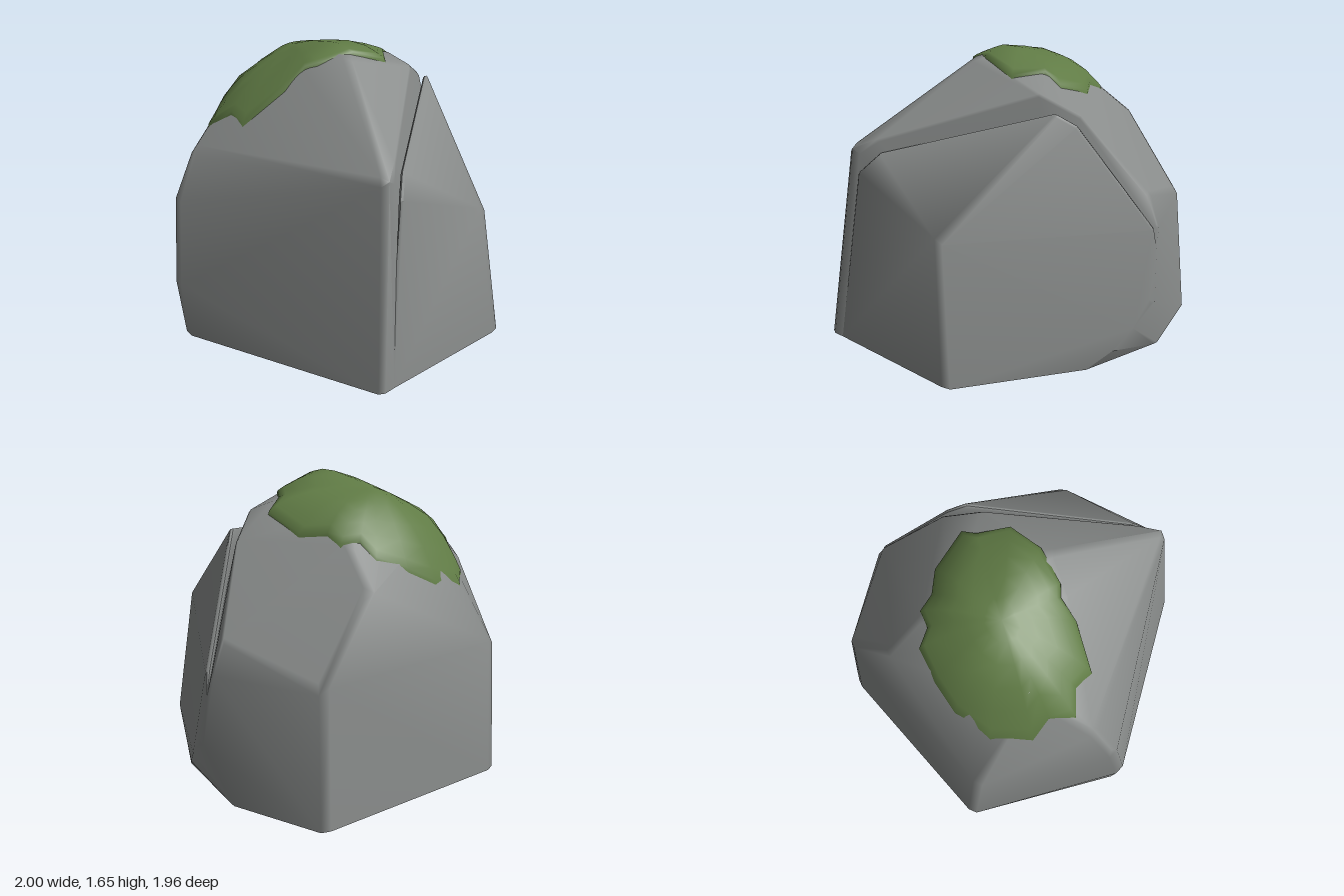
import * as THREE from 'three';
import { mergeVertices } from 'three/addons/utils/BufferGeometryUtils.js';
import { ConvexGeometry } from 'three/addons/geometries/ConvexGeometry.js';

// Unique directions of an icosahedron, used to round off corners
function bevelDirections() {
  const geo = new THREE.IcosahedronGeometry(1, 0);
  geo.deleteAttribute('normal');
  geo.deleteAttribute('uv');
  const pos = mergeVertices(geo, 1e-4).attributes.position;
  return Array.from({ length: pos.count }, (_, i) => new THREE.Vector3().fromBufferAttribute(pos, i));
}

// Area-weighted normals that stay sharp across edges steeper than about 50 degrees
function creasedGeometry(triangles) {
  const key = (v) => v.toArray().map((n) => Math.round(n * 1e4)).join();
  const facesAt = new Map();
  const faces = triangles.map(([a, b, c]) => b.clone().sub(a).cross(c.clone().sub(a)));
  triangles.forEach((tri, f) => tri.forEach((v) => {
    if (!facesAt.has(key(v))) facesAt.set(key(v), []);
    facesAt.get(key(v)).push(faces[f]);
  }));
  const positions = [], normals = [];
  triangles.forEach((tri, f) => tri.forEach((v) => {
    const normal = new THREE.Vector3();
    for (const other of facesAt.get(key(v))) {
      if (other.angleTo(faces[f]) < 0.87) normal.add(other);
    }
    positions.push(...v.toArray());
    normals.push(...normal.normalize().toArray());
  }));
  const geo = new THREE.BufferGeometry();
  geo.setAttribute('position', new THREE.Float32BufferAttribute(positions, 3));
  geo.setAttribute('normal', new THREE.Float32BufferAttribute(normals, 3));
  return geo;
}

// Convex stone from corners [x, y, z, bevel], open underneath
function stoneGeometry(corners) {
  const directions = bevelDirections();
  const points = [];
  for (const [x, y, z, bevel = 0.06] of corners) {
    const corner = new THREE.Vector3(x, y, z);
    if (bevel === 0) {
      points.push(corner);
      continue;
    }
    // pull corners inward so the bevel ends at the intended size
    const outward = new THREE.Vector3(x, Math.max(0, y - 0.6), z).normalize();
    corner.addScaledVector(outward, -0.85 * bevel);
    for (const d of directions) {
      const p = corner.clone().addScaledVector(d, bevel);
      p.y = y === 0 ? 0 : Math.max(0, p.y);
      points.push(p);
    }
  }
  const pos = new ConvexGeometry(points).attributes.position;
  const triangles = [];
  for (let i = 0; i < pos.count; i += 3) {
    const tri = [0, 1, 2].map((k) => new THREE.Vector3().fromBufferAttribute(pos, i + k));
    if (tri.some((v) => v.y > 1e-4)) triangles.push(tri);
  }
  return creasedGeometry(triangles);
}

// Moss: rings shrunk from an outline, draped over the stone and lifted in the middle
function mossGeometry(stone, outline, cx, cz) {
  const rings = [[0, 0.045], [0.2, 0.045], [0.4, 0.045], [0.6, 0.045], [0.78, 0.04], [0.92, 0.03], [0.985, 0.018], [1, -0.012]];
  const ray = new THREE.Raycaster();
  const down = new THREE.Vector3(0, -1, 0);
  const heightAt = (x, z) => {
    ray.set(new THREE.Vector3(x, 3, z), down);
    return ray.intersectObject(stone)[0].point.y;
  };
  // inner rings follow a softened version of the stone
  const softHeight = (x, z) => {
    let sum = 0;
    for (let k = 0; k < 8; k++) {
      const a = (k * Math.PI) / 4;
      sum += heightAt(x + 0.06 * Math.cos(a), z + 0.06 * Math.sin(a));
    }
    return Math.max(sum / 8, heightAt(x, z) - 0.015);
  };
  const positions = [];
  const index = [];
  const n = outline.length;
  rings.forEach(([t, lift], r) => {
    outline.forEach(([ox, oz], i) => {
      const x = cx + (ox - cx) * t;
      const z = cz + (oz - cz) * t;
      positions.push(x, (t < 0.95 ? softHeight(x, z) : heightAt(x, z)) + lift, z);
      if (r === 0) return;
      const j = (i + 1) % n;
      const a = (r - 1) * n + i, b = (r - 1) * n + j, c = r * n + i, d = r * n + j;
      if (r > 1) index.push(a, b, c);
      index.push(b, d, c);
    });
  });
  const geo = new THREE.BufferGeometry();
  geo.setAttribute('position', new THREE.Float32BufferAttribute(positions, 3));
  geo.setIndex(index);
  const merged = mergeVertices(geo, 1e-4);
  merged.computeVertexNormals();
  return merged;
}

export function createModel() {
  const group = new THREE.Group();
  group.name = 'mossyBoulder';
  const stoneGrey = new THREE.MeshStandardMaterial({ color: 0x898c8b, side: THREE.DoubleSide });
  stoneGrey.name = 'stoneGrey';
  const mossGreen = new THREE.MeshStandardMaterial({ color: 0x607b45, side: THREE.DoubleSide });
  mossGreen.name = 'mossGreen';

  const add = (name, geo, mat) => {
    const mesh = new THREE.Mesh(geo, mat);
    mesh.name = name;
    group.add(mesh);
    return mesh;
  };

  // Sharp corners where wedge and boulder meet flush, below the open crack
  const seam = [
    [-0.32, 0, 0.965, 0], [-0.26, 0.7, 0.885, 0], [0.87, 0, 0.13, 0],
    [0.94, 0.1, 0.0, 0], [0.985, 0.22, -0.11, 0], [1.0, 0.37, -0.21, 0], [0.975, 0.64, -0.28, 0],
  ];

  // Main boulder, cut off along a diagonal at the front
  const boulder = add('boulder', stoneGeometry([
    ...seam,
    // foot
    [-0.4, 0, 0.975, 0.045], [-0.97, 0, -0.17], [-0.48, 0, -0.98], [0.67, 0, -0.9], [0.91, 0, -0.4, 0.03],
    // belly
    [-1.0, 0.33, -0.2], [1.0, 0.34, -0.25, 0.03],
    // shoulders
    [-0.94, 0.83, -0.26], [-0.5, 0.76, -0.9], [0.63, 0.76, -0.83], [0.95, 0.76, -0.31, 0.02], [0.88, 0.93, -0.31, 0.03],
    [-0.3, 1.14, 0.84, 0.05], [-0.19, 1.2, 0.75, 0.02], [0.28, 1.2, -0.77], [-0.8, 1.08, -0.3],
    // crown
    [-0.62, 1.24, -0.33], [-0.25, 1.52, 0.05], [-0.05, 1.6, 0.14], [-0.03, 1.62, 0.0],
    [0.34, 1.53, -0.02], [0.42, 1.47, 0.1, 0.02], [0.6, 1.36, -0.04, 0.02],
    [-0.12, 1.54, -0.4], [-0.45, 1.36, -0.45], [0.15, 1.51, -0.4], [0.24, 1.38, -0.55], [-0.2, 1.36, -0.6],
  ]), stoneGrey);

  // Split-off wedge standing against the cut
  add('frontWedge', stoneGeometry([
    ...seam,
    // foot
    [0.53, 0, 0.84, 0.06],
    // upper rim along the crack
    [0.96, 0.76, -0.26, 0.015], [-0.21, 1.02, 0.86, 0.015], [-0.13, 1.13, 0.77, 0.015],
    [0.42, 0.79, 0.79, 0.05], [0.56, 1.38, 0.1, 0.015], [0.63, 1.32, 0.02, 0.015],
  ]), stoneGrey);

  // Moss patch on the crown
  group.updateMatrixWorld(true);
  add('mossPatch', mossGeometry(boulder, [
    [-0.7, -0.32], [-0.6, -0.43], [-0.6, -0.55], [-0.43, -0.71], [-0.2, -0.75], [-0.02, -0.72],
    [0.15, -0.66], [0.18, -0.56], [0.28, -0.52], [0.29, -0.42], [0.39, -0.3], [0.42, -0.06],
    [0.33, -0.03], [0.23, 0.13], [0, 0.13], [-0.2, 0.07], [-0.25, 0.02], [-0.38, 0.01],
    [-0.6, -0.09], [-0.6, -0.22],
  ].reverse(), -0.13, -0.3), mossGreen);

  return group;
}
